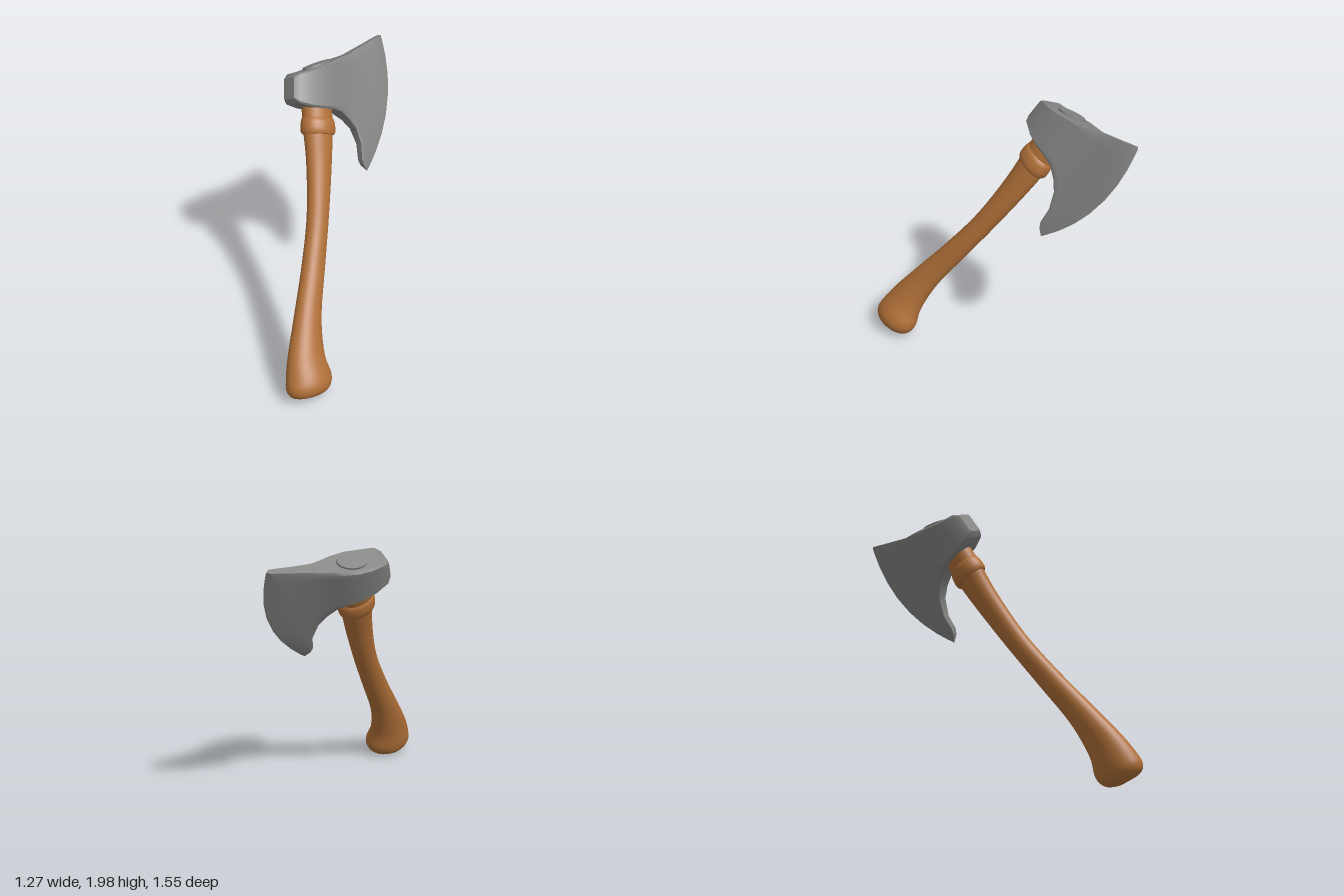
import * as THREE from 'three';
import { toCreasedNormals } from 'three/addons/utils/BufferGeometryUtils.js';

const steel = new THREE.MeshStandardMaterial({ color: 0x858584 });
steel.name = 'steel';
const wood = new THREE.MeshStandardMaterial({ color: 0xb07038 });
wood.name = 'wood';

function buildGeometry(points, index) {
  const g = new THREE.BufferGeometry();
  g.setAttribute('position', new THREE.Float32BufferAttribute(points, 3));
  g.setIndex(index);
  g.computeVertexNormals();
  return g;
}

// Smoothly resample rows of numbers, column by column
function resample(rows, steps) {
  const columns = rows[0].map((_, c) =>
    new THREE.CatmullRomCurve3(rows.map((r, i) => new THREE.Vector3(i, r[c], 0)), false, 'catmullrom', 0.5));
  return Array.from({ length: steps + 1 }, (_, i) => columns.map((curve) => curve.getPoint(i / steps).y));
}

// Elliptical loft going down; rows are [height, centre, half width, half depth, tilt]
function loft(rows, sides = 32) {
  const points = [], index = [];
  rows.forEach(([u, c, rv, rn, tilt], i) => {
    for (let j = 0; j < sides; j++) {
      const a = (j / sides) * Math.PI * 2;
      const v = rv * Math.cos(a);
      points.push(c + v, u + tilt * v, rn * Math.sin(a));
      if (i === rows.length - 1) continue;
      const A = i * sides + j, B = i * sides + ((j + 1) % sides);
      index.push(A, B, A + sides, B, B + sides, A + sides);
    }
  });
  return buildGeometry(points, index);
}

// Axe head: sections from poll to cutting edge
// rows are [top x, top y, bottom x, bottom y, half thickness, bulge]
function headGeometry() {
  const rows = [
    [-0.235, -0.13, -0.235, -0.28, 0.06, 0],
    [-0.2, -0.1, -0.2, -0.31, 0.088, 0],
    [-0.1, -0.07, -0.1, -0.33, 0.106, 0],
    [0, -0.03, 0, -0.335, 0.112, 0],
    [0.1, 0.012, 0.1, -0.335, 0.098, 0],
    [0.17, 0.04, 0.17, -0.345, 0.075, 0],
    [0.25, 0.07, 0.25, -0.39, 0.055, 0],
    [0.32, 0.11, 0.32, -0.45, 0.043, 0],
    [0.42, 0.165, 0.375, -0.56, 0.034, 0],
    [0.49, 0.205, 0.388, -0.676, 0.028, 0.015],
    [0.545, 0.235, 0.41, -0.715, 0.022, 0.05],
    [0.567, 0.24, 0.452, -0.752, 0, 0.125],
  ];
  const ts = [0, 0.05, 0.15, 0.28, 0.42, 0.58, 0.72, 0.85, 0.95, 1];
  const n = ts.length, loop = n * 2;
  const points = [], index = [];
  rows.forEach(([tv, tu, bv, bu, half, bulge], i) => {
    for (let j = 0; j < loop; j++) {
      const front = j < n;
      const t = ts[front ? j : loop - 1 - j];
      const w = half * (t === 0 || t === 1 ? 0.86 : 1);
      points.push(
        THREE.MathUtils.lerp(bv, tv, t) + bulge * 4 * t * (1 - t),
        THREE.MathUtils.lerp(bu, tu, t),
        front ? w : -w);
      if (i === rows.length - 1) continue;
      const A = i * loop + j, B = i * loop + ((j + 1) % loop);
      index.push(A, A + loop, B, B, A + loop, B + loop);
    }
  });
  // Flat end of the poll
  for (let k = 0; k < n - 1; k++) {
    const back = loop - 1 - k;
    index.push(k, k + 1, back - 1, k, back - 1, back);
  }
  return toCreasedNormals(buildGeometry(points, index), 0.6);
}

export function createModel() {
  const model = new THREE.Group();
  model.name = 'axe';
  const axe = new THREE.Group();
  axe.name = 'tiltedAxe';
  model.add(axe);

  function add(name, geometry, material) {
    const mesh = new THREE.Mesh(geometry, material);
    mesh.name = name;
    axe.add(mesh);
    return mesh;
  }

  add('axeHead', headGeometry(), steel);

  // Plug where the handle ends in the top of the head
  const plug = add('eyePlug', new THREE.CylinderGeometry(1, 1, 0.05, 36), steel);
  plug.scale.set(0.11, 1, 0.078);
  plug.position.set(0.002, -0.04, 0);
  plug.rotation.z = 0.38;

  // Curved handle with a swollen end
  const handleRows = [
    [-0.15, -0.01, 0.1, 0.075, 0],
    [-0.3, 0.0, 0.114, 0.086, 0],
    [-0.46, 0.012, 0.114, 0.084, 0],
    [-0.72, 0.025, 0.097, 0.074, 0],
    [-1.08, 0.018, 0.083, 0.068, 0],
    [-1.42, -0.016, 0.088, 0.07, 0],
    [-1.78, -0.062, 0.104, 0.08, 0],
    [-2.05, -0.073, 0.14, 0.102, 0.08],
    [-2.2, -0.052, 0.171, 0.127, 0.2],
    [-2.27, -0.045, 0.168, 0.126, 0.22],
    [-2.315, -0.04, 0.135, 0.1, 0.22],
    [-2.335, -0.035, 0.075, 0.055, 0.2],
    [-2.338, -0.035, 0, 0, 0],
  ];
  add('handle', loft(resample(handleRows, 72)), wood);

  // Rounded collar below the head
  const collarRows = [
    [-0.39, 0.01, 0.108, 0.08, 0],
    [-0.4, 0.01, 0.121, 0.092, 0],
    [-0.425, 0.012, 0.128, 0.099, 0],
    [-0.465, 0.014, 0.133, 0.103, 0],
    [-0.495, 0.015, 0.131, 0.101, 0],
    [-0.51, 0.015, 0.122, 0.093, 0],
    [-0.513, 0.015, 0.1, 0.072, 0],
  ];
  add('collar', toCreasedNormals(loft(collarRows), 0.8), wood);

  // Lean the whole axe: blade direction, handle direction, thickness direction
  const blade = new THREE.Vector3(0.925, -0.34, -0.172).normalize();
  const up = new THREE.Vector3(0.21, 0.826, -0.524);
  up.addScaledVector(blade, -up.dot(blade)).normalize();
  const side = new THREE.Vector3().crossVectors(blade, up);
  axe.quaternion.setFromRotationMatrix(new THREE.Matrix4().makeBasis(blade, up, side));
  axe.position.set(0.05, 1.965, -0.54);
  return model;
}
